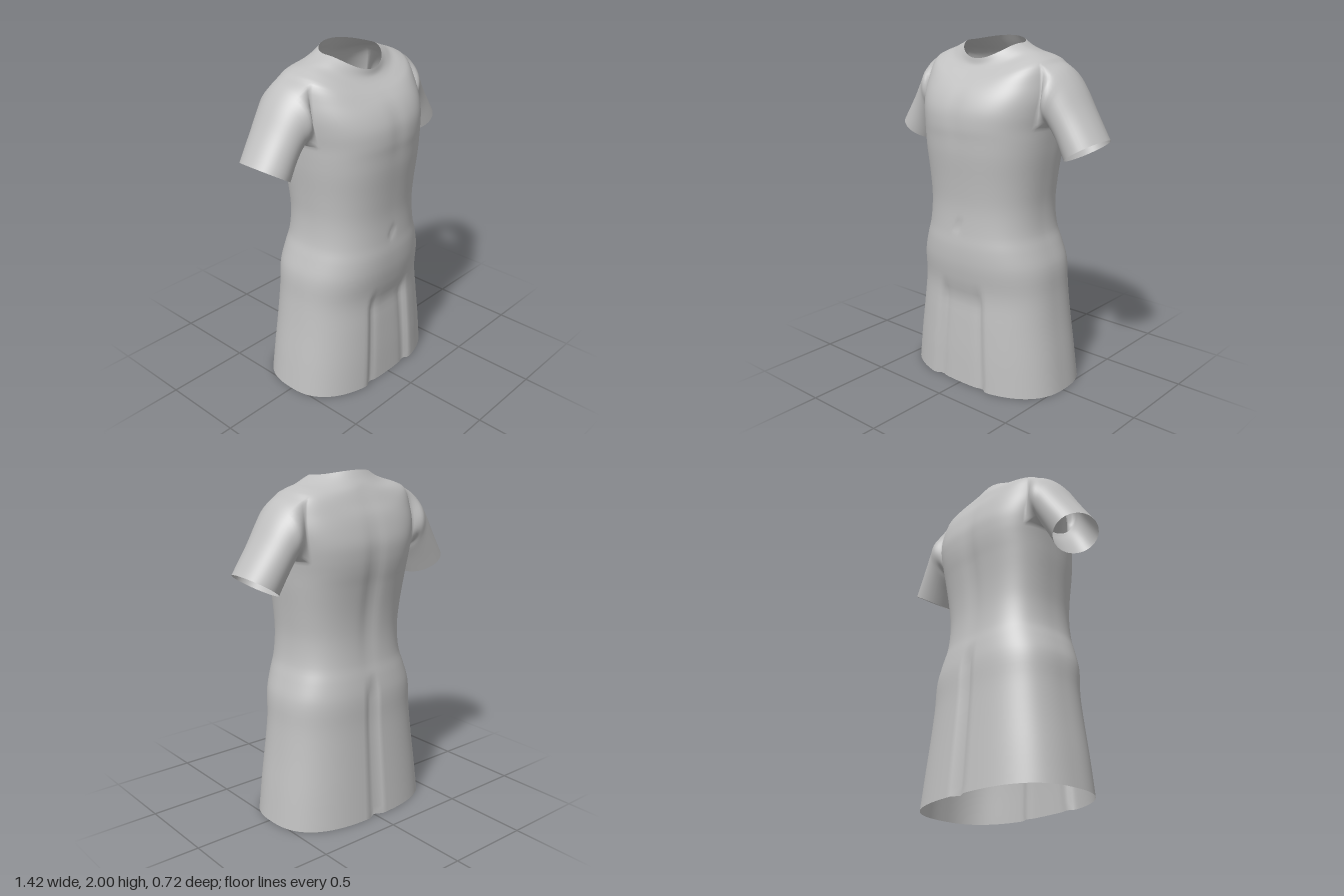
import * as THREE from 'three';

const COLS = 144, SUB = 4;

// Cross-sections, hem to neck: y side, y front, y back, half width, z front, z back, z of widest point
const RINGS = [
  [0, 0, 0, 0.52, 0.34, -0.36, 0],
  [0.2, 0.2, 0.2, 0.495, 0.335, -0.345, 0],
  [0.4, 0.4, 0.4, 0.467, 0.325, -0.33, 0],
  [0.58, 0.58, 0.58, 0.447, 0.315, -0.318, 0],
  [0.74, 0.74, 0.74, 0.435, 0.335, -0.313, 0],
  [0.85, 0.85, 0.85, 0.402, 0.337, -0.297, 0.01],
  [0.94, 0.94, 0.94, 0.373, 0.328, -0.28, 0.02],
  [1.08, 1.08, 1.08, 0.36, 0.322, -0.27, 0.02],
  [1.22, 1.22, 1.22, 0.369, 0.332, -0.277, 0.01],
  [1.38, 1.38, 1.38, 0.387, 0.35, -0.3, 0],
  [1.47, 1.47, 1.47, 0.395, 0.356, -0.317, -0.01],
  [1.54, 1.54, 1.54, 0.402, 0.361, -0.325, -0.03],
  [1.62, 1.62, 1.62, 0.415, 0.354, -0.325, -0.04],
  [1.70, 1.685, 1.70, 0.425, 0.33, -0.308, -0.05],
  [1.78, 1.74, 1.77, 0.42, 0.295, -0.285, -0.05],
  [1.885, 1.785, 1.83, 0.395, 0.25, -0.255, -0.05],
  [1.915, 1.815, 1.88, 0.34, 0.212, -0.23, -0.04],
  [1.935, 1.838, 1.925, 0.285, 0.185, -0.205, -0.02],
  [1.955, 1.86, 1.96, 0.23, 0.168, -0.18, 0],
  [1.975, 1.893, 2.0, 0.183, 0.162, -0.153, 0],
];
const ARM_LOW = 11 * SUB, ARM_HIGH = 15 * SUB; // rows bounding each armhole

// Sleeve loops: top x, top y, bottom x, bottom y, z front, z back
const SLEEVE = [
  [0.458, 1.853, 0.415, 1.53, 0.14, -0.235],
  [0.525, 1.78, 0.43, 1.5, 0.12, -0.225],
  [0.605, 1.655, 0.46, 1.445, 0.108, -0.215],
  [0.712, 1.493, 0.5, 1.36, 0.108, -0.203],
];

const bump = (v, centre, width) => Math.exp(-(((v - centre) / width) ** 2));
const step = THREE.MathUtils.smoothstep;

function ringPoint([ys, yf, yb, w, zf, zb, cz], i, angle) {
  const c = Math.cos(angle), s = Math.sin(angle);
  const n = i > 16 ? 2 : s > 0 ? 2.4 : 2.7;
  const x = w * Math.sign(c) * Math.abs(c) ** (2 / n);
  const depth = Math.abs(s) ** (2 / n);
  return new THREE.Vector3(
    x,
    ys + ((s > 0 ? yf : yb) - ys) * s * s,
    cz + ((s > 0 ? zf : zb) - cz) * depth
  );
}

// Folds and hollows pressed into the cloth
function pressFolds(p, angle) {
  const x = Math.abs(p.x);
  if (Math.sin(angle) > 0.3) {
    const skirt = 1 - step(p.y, 0.5, 0.64);
    const foldX = 0.165 - 0.06 * p.y;
    p.z -= skirt * (0.022 * (1 - step(x, foldX - 0.03, foldX + 0.04)) + 0.014 * bump(x, foldX, 0.025));
    p.z -= 0.012 * bump(x, 0, 0.02) * bump(p.y, 0.97, 0.025); // navel
    p.z -= 0.006 * bump(x, 0, 0.05) * bump(p.y, 1.6, 0.15);   // breastbone
  } else if (Math.sin(angle) < -0.3) {
    p.z += 0.028 * bump(x, 0, 0.02) * (1 - step(p.y, 0.72, 0.88)); // rear seam
    p.z += 0.016 * bump(x, 0, 0.05) * bump(p.y, 1.35, 0.35);       // spine
  }
}

function buildTunic() {
  const pos = [], index = [];
  const rows = (RINGS.length - 1) * SUB;
  const id = (r, j) => r * COLS + ((j + COLS) % COLS);
  const quad = (a, b, c, d) => index.push(a, c, b, b, c, d);

  // Body: a smooth curve runs up each column
  const columns = [];
  for (let j = 0; j < COLS; j++) {
    const angle = (j / COLS) * Math.PI * 2;
    const curve = new THREE.CatmullRomCurve3(RINGS.map((r, i) => ringPoint(r, i, angle)));
    columns.push(curve.getPoints(rows));
    columns[j].forEach((p) => pressFolds(p, angle));
  }
  for (let r = 0; r <= rows; r++)
    for (let j = 0; j < COLS; j++) pos.push(...columns[j][r].toArray());

  // Armholes as column ranges on the two sides
  const holes = [
    { side: 1, from: -12, to: 8 },
    { side: -1, from: 64, to: 84 },
  ];
  const inHole = (r, j) => r >= ARM_LOW && r < ARM_HIGH &&
    (j < 8 || j >= COLS - 12 || (j >= 64 && j < 84));
  for (let r = 0; r < rows; r++)
    for (let j = 0; j < COLS; j++)
      if (!inHole(r, j)) quad(id(r, j), id(r, j + 1), id(r + 1, j), id(r + 1, j + 1));

  // Sleeves grow out of the armhole edges
  for (const { side, from, to } of holes) {
    const loop = [];
    for (let j = from; j < to; j++) loop.push(id(ARM_LOW, j));
    for (let r = ARM_LOW; r < ARM_HIGH; r++) loop.push(id(r, to));
    for (let j = to; j > from; j--) loop.push(id(ARM_HIGH, j));
    for (let r = ARM_HIGH; r > ARM_LOW; r--) loop.push(id(r, from));

    const edge = loop.map((k) => new THREE.Vector3().fromArray(pos, k * 3));
    const box = new THREE.Box3().setFromPoints(edge);
    const mid = box.getCenter(new THREE.Vector3()), size = box.getSize(new THREE.Vector3());
    const steps = 16;
    const strands = edge.map((p) => {
      const phi = Math.atan2((p.z - mid.z) / size.z, (p.y - mid.y) / size.y);
      const c = Math.cos(phi), s = Math.sin(phi);
      const pts = SLEEVE.map(([tx, ty, bx, by, zf, zb]) => new THREE.Vector3(
        side * ((tx + bx) / 2 + ((tx - bx) / 2) * c),
        (ty + by) / 2 + ((ty - by) / 2) * c,
        (zf + zb) / 2 + ((zf - zb) / 2) * s
      ));
      return new THREE.CatmullRomCurve3([p, ...pts]).getPoints(steps);
    });
    let previous = loop;
    for (let k = 1; k <= steps; k++) {
      const start = pos.length / 3;
      strands.forEach((s) => pos.push(...s[k].toArray()));
      const current = loop.map((_, m) => start + m);
      for (let m = 0; m < loop.length; m++) {
        const next = (m + 1) % loop.length;
        quad(previous[m], previous[next], current[m], current[next]);
      }
      previous = current;
    }
  }

  const geometry = new THREE.BufferGeometry();
  geometry.setAttribute('position', new THREE.Float32BufferAttribute(pos, 3));
  geometry.setIndex(index);
  geometry.computeVertexNormals();
  return geometry;
}

export function createModel() {
  const cloth = new THREE.MeshStandardMaterial({ color: 0xc0c0c0, side: THREE.DoubleSide });
  cloth.name = 'grey cloth';
  const tunic = new THREE.Mesh(buildTunic(), cloth);
  tunic.name = 'tunic';
  const group = new THREE.Group();
  group.name = 'shortSleevedTunic';
  group.add(tunic);
  return group;
}
